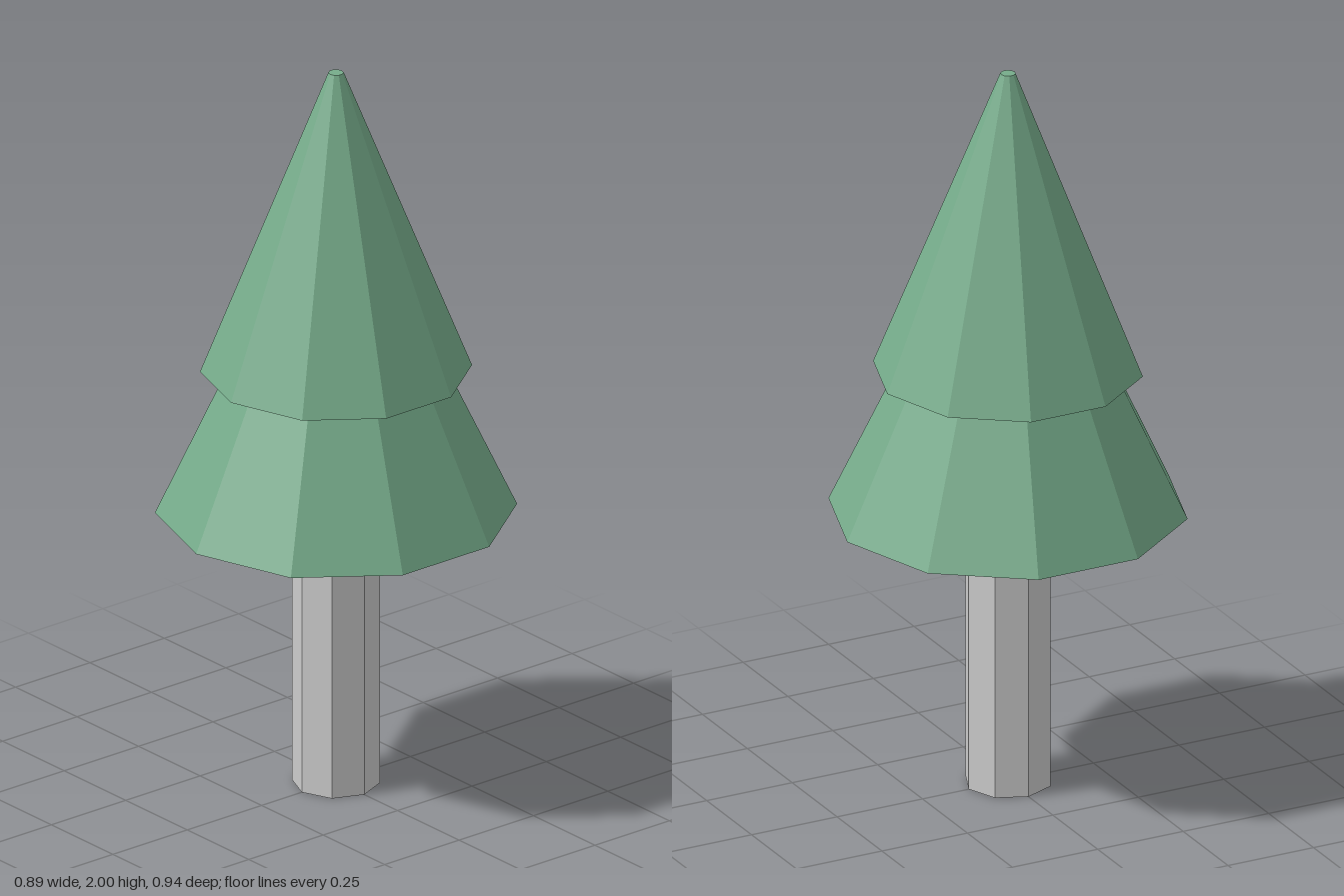
import * as THREE from 'three';

const material = (color) => new THREE.MeshStandardMaterial({ color, flatShading: true });

// Faceted solid of revolution from [radius, height] pairs, listed bottom to top
function turned(name, profile, sides, color) {
  const points = profile.map(([r, y]) => new THREE.Vector2(r, y));
  const mesh = new THREE.Mesh(new THREE.LatheGeometry(points, sides), material(color));
  mesh.name = name;
  return mesh;
}

export function createModel() {
  const tree = new THREE.Group();
  tree.name = 'tree';

  // Two stacked tiers with a flat overhang between them and a blunt tip
  tree.add(turned('foliage', [
    [0, 0.77], [0.47, 0.77], [0.284, 1.165],
    [0.353, 1.165], [0.02, 2], [0, 2],
  ], 10, 0x76ac8b));

  // Eight-sided trunk with a bark rim around the cut end
  tree.add(turned('trunk', [[0.075, 0], [0.115, 0], [0.115, 0.77]], 8, 0xcccccc));

  // Exposed wood at the foot of the trunk
  tree.add(turned('cutWood', [[0, 0], [0.075, 0]], 8, 0xa08568));

  return tree;
}
